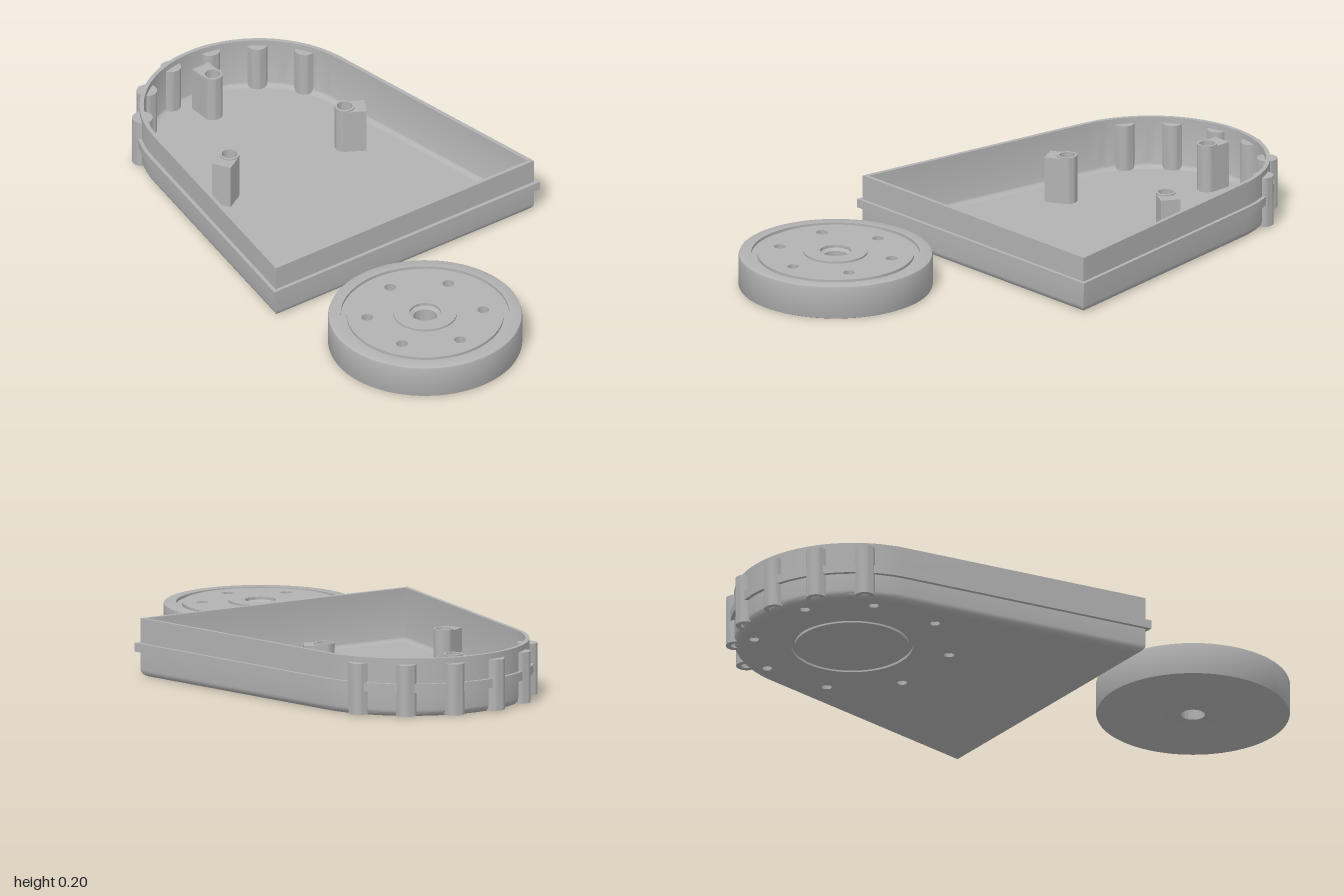
import * as THREE from 'three';
import { toCreasedNormals } from 'three/addons/utils/BufferGeometryUtils.js';

const grey = new THREE.MeshStandardMaterial({ color: 0xb2b2b2, side: THREE.DoubleSide });
grey.name = 'plain grey';

const CX = -0.575, R = 0.402, END = 0.25, TAPER = 0.163;

function add(parent, name, geometry, x = 0, y = 0, z = 0) {
  const mesh = new THREE.Mesh(geometry, grey);
  mesh.name = name;
  mesh.position.set(x, y, z);
  parent.add(mesh);
  return mesh;
}

const lathe = (points, segments = 48) => toCreasedNormals(
  new THREE.LatheGeometry(points.map(([r, y]) => new THREE.Vector2(r, y)), segments), 0.6);

function circle(x, y, r) {
  return new THREE.Path().absarc(x, y, r, 0, Math.PI * 2);
}

// tray outline in x and z, moved inward by d: round nose, tapered sides, flat end
function outline(d) {
  const r = R - d, x = END - d;
  const cornerZ = r * Math.cos(TAPER) + (x - CX + r * Math.sin(TAPER)) * Math.tan(TAPER);
  const pts = [new THREE.Vector2(x, cornerZ)];
  const from = Math.PI / 2 + TAPER, sweep = Math.PI - 2 * TAPER, n = 40;
  for (let i = 0; i <= n; i++) {
    const a = from + sweep * i / n;
    pts.push(new THREE.Vector2(CX + r * Math.cos(a), r * Math.sin(a)));
  }
  pts.push(new THREE.Vector2(x, -cornerZ));
  return pts;
}

// sweep a wall profile of [inset, height] around the outline
function sweepWall(profile) {
  const pos = [], index = [], n = outline(0).length;
  for (const [d, y] of profile) for (const p of outline(d)) pos.push(p.x, y, p.y);
  for (let j = 0; j < profile.length - 1; j++) {
    for (let i = 0; i < n; i++) {
      const k = (i + 1) % n, a = j * n + i, b = a + n, c = j * n + k, e = c + n;
      index.push(a, b, c, b, e, c);
    }
  }
  const g = new THREE.BufferGeometry();
  g.setAttribute('position', new THREE.Float32BufferAttribute(pos, 3));
  g.setIndex(index);
  return toCreasedNormals(g, 0.5);
}

function makeTray() {
  const tray = new THREE.Group();
  tray.name = 'tray';

  // wall: rounded foot, outer flange, rim, inner face, floor fillet
  const profile = [];
  for (let i = 0; i <= 5; i++) {
    const a = Math.PI / 2 * i / 5;
    profile.push([0.025 * (1 - Math.sin(a)), 0.025 * (1 - Math.cos(a))]);
  }
  profile.push([0, 0.085], [-0.013, 0.085], [-0.013, 0.115], [0, 0.115], [0, 0.2], [0.014, 0.2]);
  for (let i = 0; i <= 5; i++) {
    const a = Math.PI / 2 * i / 5;
    profile.push([0.014 + 0.02 * (1 - Math.cos(a)), 0.04 - 0.02 * Math.sin(a)]);
  }
  add(tray, 'wall', sweepWall(profile));
  add(tray, 'floor', new THREE.ShapeGeometry(new THREE.Shape(outline(0.034))).rotateX(-Math.PI / 2), 0, 0.02);

  // underside with a ring groove and small blind holes
  const under = new THREE.Shape(outline(0.025));
  under.holes.push(circle(-0.58, 0, 0.205));
  const pit = lathe([[0, 0.014], [0.017, 0.014], [0.017, 0]], 20);
  for (const deg of [24, 69, 113, 154]) {
    for (const side of [-1, 1]) {
      const a = deg * Math.PI / 180;
      const x = -0.58 + 0.335 * Math.cos(a), z = side * 0.335 * Math.sin(a);
      under.holes.push(circle(x, z, 0.017));
      add(tray, 'undersideHole', pit, x, 0, z);
    }
  }
  add(tray, 'underside', new THREE.ShapeGeometry(under, 24).rotateX(Math.PI / 2));
  add(tray, 'undersideRing', lathe(
    [[0, 0], [0.193, 0], [0.193, 0.01], [0.205, 0.01], [0.205, 0]], 64), -0.58);

  // screw bosses through the round nose
  const boss = lathe([[0, 0.04], [0.018, 0.04], [0.018, 0.005], [0.035, 0.005], [0.035, 0.18], [0, 0.18]], 24);
  for (const deg of [120, 144, 168]) {
    for (const side of [-1, 1]) {
      const a = deg * Math.PI / 180;
      add(tray, 'screwBoss', boss, CX + 0.395 * Math.cos(a), 0, side * 0.395 * Math.sin(a));
    }
  }

  // three standing tubes, each backed by a block on its outer side
  const tube = lathe([[0.034, 0.02], [0.034, 0.185], [0.026, 0.185], [0.026, 0.06], [0, 0.06]], 28);
  const block = new THREE.Shape();
  block.moveTo(0, -0.034);
  block.lineTo(0.07, -0.034);
  block.lineTo(0.07, 0.034);
  block.lineTo(0, 0.034);
  block.absarc(0, 0, 0.03, Math.PI / 2, -Math.PI / 2, true);
  const blockGeometry = new THREE.ExtrudeGeometry(block, { depth: 0.16, bevelEnabled: false, curveSegments: 12 })
    .rotateX(-Math.PI / 2);
  for (const a of [Math.PI / 3, Math.PI, -Math.PI / 3]) {
    const post = new THREE.Group();
    post.name = 'post';
    post.position.set(-0.555 + 0.28 * Math.cos(a), 0, 0.28 * Math.sin(a));
    post.rotation.y = -a;
    add(post, 'postTube', tube);
    add(post, 'postBlock', blockGeometry, 0, 0.02);
    tray.add(post);
  }
  return tray;
}

function makeWheel() {
  const wheel = new THREE.Group();
  wheel.name = 'wheel';
  wheel.position.set(0.672, 0, 0.229);

  // underside, rounded rim and face groove
  add(wheel, 'wheelRim', lathe([
    [0.04, 0], [0.32, 0], [0.326, 0.003], [0.328, 0.009], [0.328, 0.108], [0.326, 0.115], [0.32, 0.118],
    [0.285, 0.118], [0.285, 0.108], [0.265, 0.108], [0.265, 0.118],
  ], 80));

  // raised hub and through hole
  add(wheel, 'hub', lathe([
    [0.108, 0.118], [0.108, 0.125], [0.053, 0.125], [0.053, 0.115], [0.04, 0.108], [0.04, 0],
  ], 48));

  // face with six blind holes
  const face = new THREE.Shape().absarc(0, 0, 0.265, 0, Math.PI * 2);
  face.holes.push(circle(0, 0, 0.108));
  const hole = lathe([[0.02, 0.118], [0.02, 0.06], [0, 0.06]], 24);
  for (let i = 0; i < 6; i++) {
    const a = i * Math.PI / 3, x = 0.197 * Math.cos(a), z = 0.197 * Math.sin(a);
    face.holes.push(circle(x, z, 0.02));
    add(wheel, 'faceHole', hole, x, 0, z);
  }
  add(wheel, 'wheelFace', new THREE.ShapeGeometry(face, 40).rotateX(-Math.PI / 2), 0, 0.118);
  return wheel;
}

export function createModel() {
  const model = new THREE.Group();
  model.name = 'trayAndWheel';
  model.add(makeTray(), makeWheel());
  return model;
}
